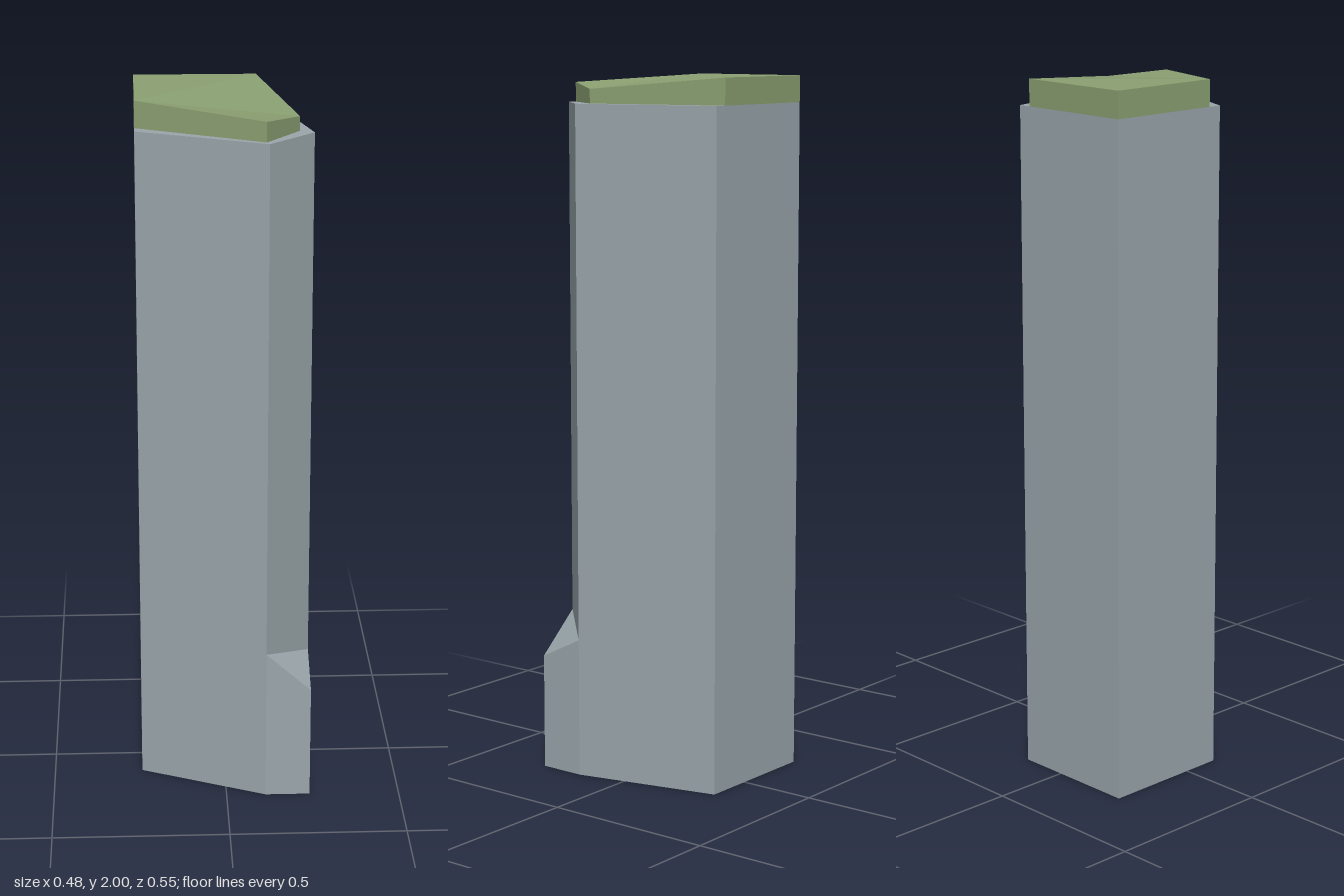
import * as THREE from 'three';

// Fans each convex face (list of [x, y, z] corners, counter-clockwise from outside) into triangles.
function meshFromFaces(name, faces, color) {
  const pos = [];
  for (const f of faces) {
    for (let i = 1; i < f.length - 1; i++) pos.push(...f[0], ...f[i], ...f[i + 1]);
  }
  const geo = new THREE.BufferGeometry();
  geo.setAttribute('position', new THREE.Float32BufferAttribute(pos, 3));
  geo.computeVertexNormals();
  const mat = new THREE.MeshStandardMaterial({ color, flatShading: true, side: THREE.DoubleSide });
  const mesh = new THREE.Mesh(geo, mat);
  mesh.name = name;
  return mesh;
}

// Places a plan outline of [x, z] points at one height, or at one height per point.
const raise = (plan, h) => plan.map(([x, z], i) => [x, Array.isArray(h) ? h[i] : h, z]);

// Walls between a lower and an upper outline running clockwise from above.
function walls(lower, upper, closed = true) {
  const n = lower.length, faces = [];
  for (let i = 0; i < (closed ? n : n - 1); i++) {
    const j = (i + 1) % n;
    faces.push([lower[i], upper[i], upper[j], lower[j]]);
  }
  return faces;
}

export function createModel() {
  const model = new THREE.Group();
  model.name = 'tower';
  const stone = 0x9ba7ac, green = 0x8ca173;
  const eaves = 1.925;

  // Plan corners: back right, back left, front left, front tip, front right
  const right = [0.241, 0.14], front = [0.113, 0.273], corner = [0.241, 0.273];
  const plan = [[-0.243, -0.275], [0.142, -0.275], right, front, [-0.243, 0.11]];

  // Shaft: open underneath, walls on the four long sides and a flat ledge on top
  const top = raise(plan, eaves), ground = raise(plan, 0);
  const shaft = walls(ground, top).filter((_, i) => i !== 2);
  shaft.push([...top].reverse());
  model.add(meshFromFaces('shaft', shaft, stone));

  // Cut corner: narrow chamfered wall above the solid foot
  const cut = raise([right, front], [0.4, 0.447]);
  model.add(meshFromFaces('chamferedWall', walls(cut, raise([right, front], eaves), false), stone));

  // Corner foot: two walls meeting at the full corner, closed by a sloping facet
  const footPlan = [right, corner, front];
  const footTop = raise(footPlan, [0.4, 0.333, 0.447]);
  const foot = walls(raise(footPlan, 0), footTop, false);
  foot.push([...footTop].reverse());
  model.add(meshFromFaces('cornerFoot', foot, stone));

  // Roof: slightly inset slab that dips towards the cut corner
  const roofPlan = [[-0.243, -0.275], [0.104, -0.275], [0.202, 0.12], [0.106, 0.253], [-0.243, 0.07]];
  const roofTop = raise(roofPlan, [2, 2, 1.965, 1.98, 2]);
  const roof = walls(raise(roofPlan, eaves), roofTop);
  roof.push([...roofTop].reverse());
  model.add(meshFromFaces('roof', roof, green));

  return model;
}
